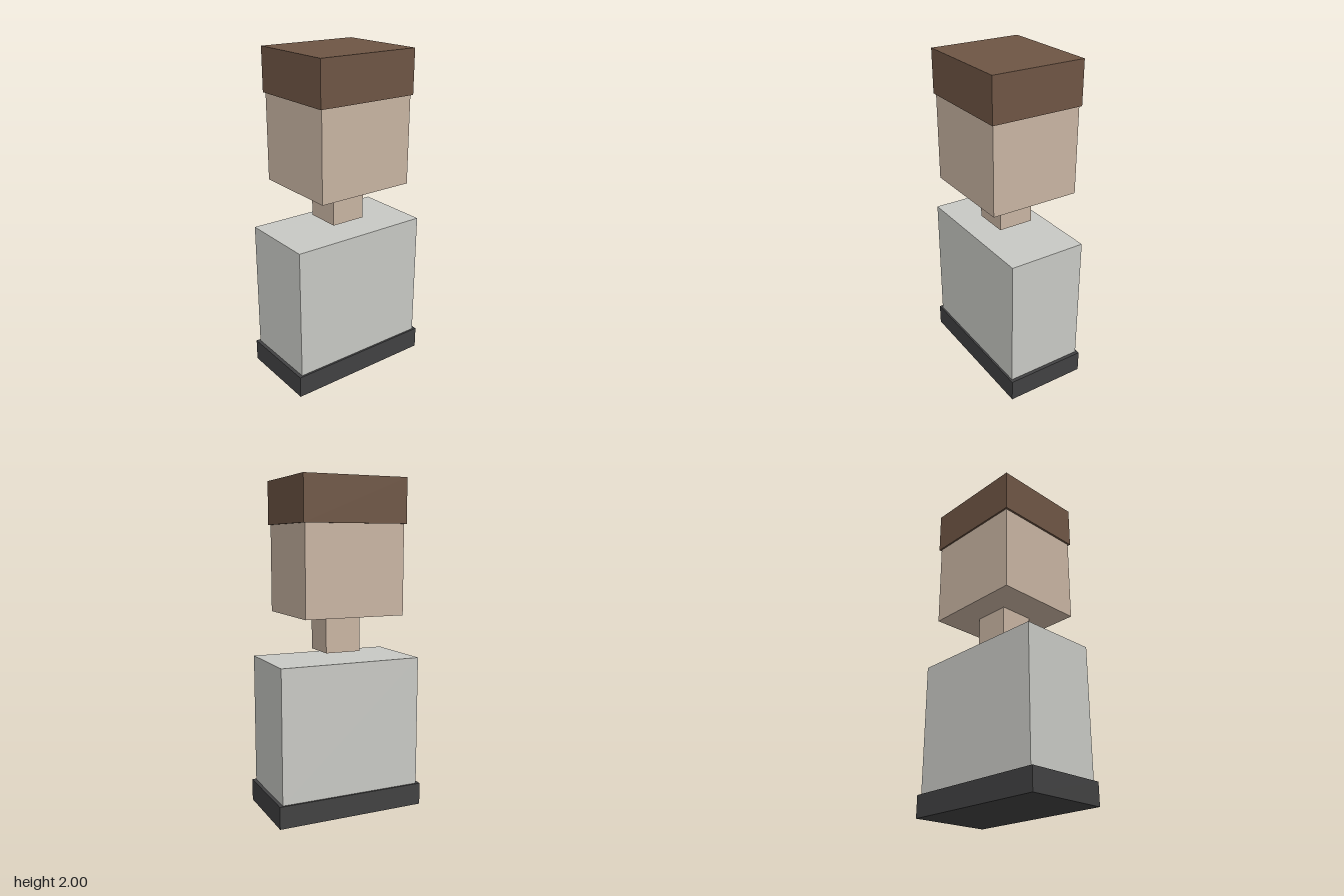
import * as THREE from 'three';

const material = (name, color) => {
  const m = new THREE.MeshStandardMaterial({ color });
  m.name = name;
  return m;
};

export function createModel() {
  const group = new THREE.Group();
  group.name = 'blockFigure';

  const charcoal = material('charcoal', 0x414142);
  const paleGrey = material('paleGrey', 0xc8c9c4);
  const skin = material('skin', 0xc8b4a2);
  const brown = material('brown', 0x6e5544);

  // Box centred on the vertical axis, spanning from bottom to top
  const block = (name, width, depth, bottom, top, mat) => {
    const mesh = new THREE.Mesh(new THREE.BoxGeometry(width, top - bottom, depth), mat);
    mesh.name = name;
    mesh.position.y = (bottom + top) / 2;
    group.add(mesh);
  };

  block('base', 0.932, 0.51, 0, 0.135, charcoal);
  block('torso', 0.888, 0.486, 0.135, 0.936, paleGrey);
  // The neck hangs from the head, just clear of the torso
  block('neck', 0.22, 0.22, 0.98, 1.205, skin);
  block('head', 0.62, 0.558, 1.205, 1.737, skin);
  block('hair', 0.644, 0.578, 1.737, 2, brown);

  return group;
}
